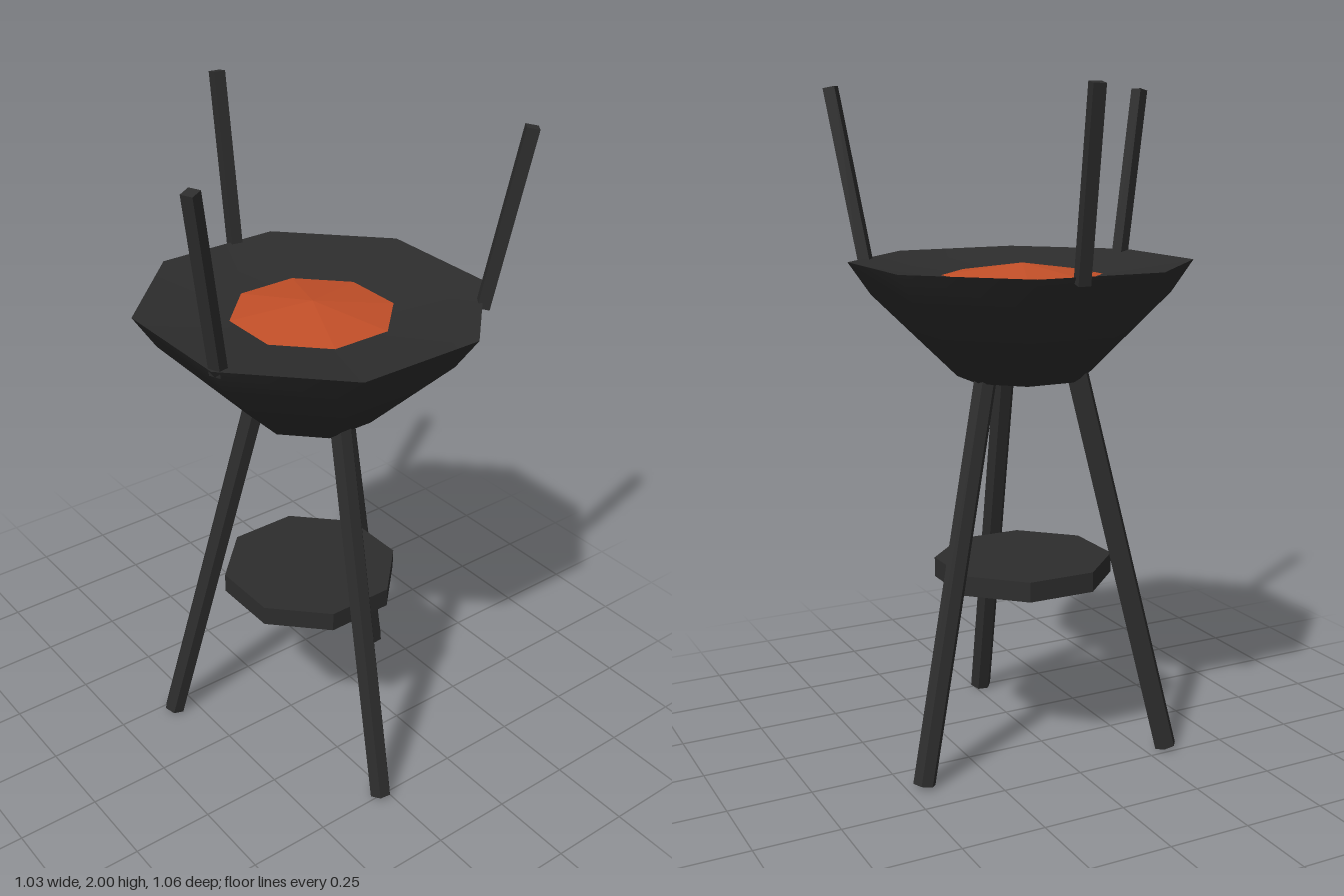
import * as THREE from 'three';

const SIDES = 8;
const CENTRE_X = 0.035, CENTRE_Z = 0.053;

export function createModel() {
  const iron = new THREE.MeshStandardMaterial({ color: 0x2d2d2d });
  iron.name = 'charcoalIron';
  const ember = new THREE.MeshStandardMaterial({ color: 0xc24f28 });
  ember.name = 'emberOrange';

  const model = new THREE.Group();
  model.name = 'brazier';
  const body = new THREE.Group();
  body.name = 'brazierBody';
  body.position.set(CENTRE_X, 0, CENTRE_Z);
  model.add(body);

  const add = (name, geometry, material, parent = body) => {
    const mesh = new THREE.Mesh(geometry, material);
    mesh.name = name;
    parent.add(mesh);
    return mesh;
  };

  // Octagonal lathe; profile is [distance to flat side, height], bottom to top on the outside
  const octagon = (profile) => new THREE.LatheGeometry(
    profile.map(([r, y]) => new THREE.Vector2(r / Math.cos(Math.PI / SIDES), y)),
    SIDES, Math.PI / SIDES);

  // Bowl shell, sloping inner bed and glowing coals
  add('bowl', octagon([[0, 1.135], [0.18, 1.16], [0.41, 1.405], [0.47, 1.5]]), iron);
  add('bowlBed', octagon([[0.47, 1.5], [0.22, 1.46]]), iron);
  const coals = octagon([[0.22, 1.46], [0, 1.495]]).toNonIndexed();
  coals.computeVertexNormals();
  add('coals', coals, ember);

  // Lower shelf
  const shelf = new THREE.CylinderGeometry(1, 1, 0.06, SIDES, 1, false, Math.PI / SIDES).toNonIndexed();
  const shelfRadius = 0.25 / Math.cos(Math.PI / SIDES);
  shelf.scale(shelfRadius, 1, shelfRadius);
  shelf.computeVertexNormals();
  add('shelf', shelf, iron).position.y = 0.57;

  // Straight bar leaning outward in the plane of a given compass angle
  const leaningBar = (name, makeGeometry, degrees, [r0, y0], [r1, y1]) => {
    const arm = new THREE.Group();
    arm.name = name;
    arm.rotation.y = -THREE.MathUtils.degToRad(degrees);
    const bar = add(name + 'Bar', makeGeometry(Math.hypot(r1 - r0, y1 - y0)), iron, arm);
    bar.position.set((r0 + r1) / 2, (y0 + y1) / 2, 0);
    bar.rotation.z = -Math.atan2(r1 - r0, y1 - y0);
    body.add(arm);
  };

  const legBar = (length) => {
    const g = new THREE.CylinderGeometry(0.034, 0.034, length, 6).toNonIndexed();
    g.computeVertexNormals();
    return g;
  };
  const postBar = (length) => new THREE.BoxGeometry(0.036, length, 0.036);

  // Three splayed legs below, three upright posts above, turned half a step
  for (let i = 0; i < 3; i++) {
    leaningBar('leg' + (i + 1), legBar, -22.5 + i * 120, [0.446, 0.008], [0.164, 1.175]);
    leaningBar('post' + (i + 1), postBar, 37.5 + i * 120, [0.475, 1.48], [0.57, 1.997]);
  }

  return model;
}
